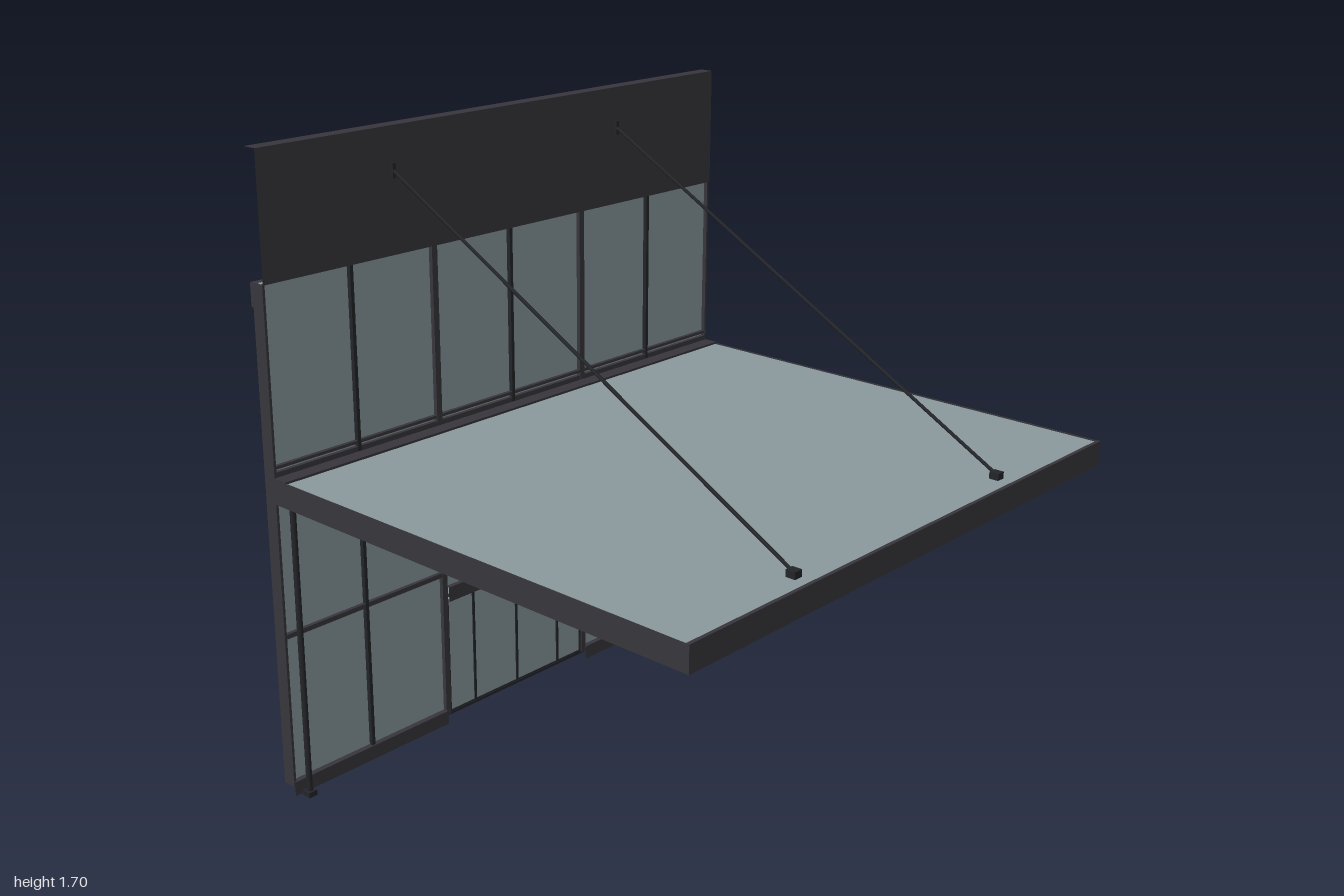
import * as THREE from 'three';

const mat = (name, color, side = THREE.FrontSide) => {
  const m = new THREE.MeshStandardMaterial({ color, side });
  m.name = name;
  return m;
};

export function createModel() {
  const root = new THREE.Group();
  root.name = 'entranceCanopy';
  const frame = mat('charcoal frame', 0x38363c);
  const glass = mat('grey glass', 0x8b9a9f);
  const steel = mat('dark steel', 0x242529);
  const pale = mat('pale grey', 0xa4a6aa);

  const add = (parent, name, geo, material) => {
    const m = new THREE.Mesh(geo, material);
    m.name = name;
    parent.add(m);
    return m;
  };
  // box given by its lower and upper corners
  const box = (parent, name, material, x0, x1, y0, y1, z0, z1) => {
    const m = add(parent, name, new THREE.BoxGeometry(x1 - x0, y1 - y0, z1 - z0), material);
    m.position.set((x0 + x1) / 2, (y0 + y1) / 2, (z0 + z1) / 2);
    return m;
  };
  // box whose two x ends are left open
  const openBox = (...args) => {
    const m = box(...args);
    m.geometry.setIndex([...m.geometry.index.array].slice(12));
    return m;
  };
  const group = (name) => {
    const g = new THREE.Group();
    g.name = name;
    root.add(g);
    return g;
  };

  const W = 0.815, ZF = -0.333, ZB = -0.372, D = 0.278, H = 1.37;

  // glazed wall
  const wall = group('curtainWall');
  box(wall, 'upperGlass', glass, -W + 0.004, W - 0.004, 0.41, H, -0.36, -0.345);
  for (const s of [-1, 1]) {
    const a = s * D, b = s * (W - 0.004);
    box(wall, 'sideGlass', glass, Math.min(a, b), Math.max(a, b), 0.025, 0.41, -0.36, -0.345);
    const c = s * W;
    openBox(wall, 'plinth', frame, Math.min(a, c), Math.max(a, c), 0, 0.04, ZB - 0.004, ZF + 0.004);
    box(wall, 'endMullion', frame, c - (s > 0 ? 0.007 : 0), c + (s > 0 ? 0 : 0.007), 0.025, H, ZB, ZF);
    box(wall, 'mullion', steel, s * 0.545 - 0.005, s * 0.545 + 0.005, 0.03, H, ZB, ZF);
    box(wall, 'doorMullion', frame, s * 0.272 - 0.009, s * 0.272 + 0.009, 0.025, H, ZB, ZF);
  }
  box(wall, 'centreMullion', steel, -0.005, 0.005, 0.41, H, ZB, ZF);
  for (const [y0, y1] of [[0.446, 0.459], [0.815, 0.897], [0.905, 0.913]])
    box(wall, 'transom', frame, -W, W, y0, y1, ZB + 0.001, ZF - 0.001);
  box(wall, 'rearHeadBand', frame, -W, W, 1.31, H, -0.38, -0.361);

  // blank panel over the glazing
  openBox(root, 'topPanel', frame, -W, W, H, 1.695, -0.37, -0.33);

  // canopy slab with fascias
  const canopy = group('canopy');
  box(canopy, 'canopyGlass', glass, -W + 0.003, W - 0.003, 0.818, 0.878, ZF, 0.99);
  box(canopy, 'frontFascia', frame, -W, W, 0.815, 0.882, 0.99, 1);
  for (const s of [-1, 1])
    box(canopy, 'sideFascia', frame, s * (W - 0.0015) - 0.0015, s * (W - 0.0015) + 0.0015, 0.815, 0.881, ZF, 0.99);
  box(canopy, 'wallFlashing', frame, -W, W, 0.87, 0.884, ZF, -0.292);

  // tie rods with anchors at both ends
  for (const x of [-0.405, 0.405]) {
    const tie = group('tieRod');
    const path = new THREE.LineCurve3(new THREE.Vector3(x, 0.885, 0.95), new THREE.Vector3(x, 1.585, -0.327));
    add(tie, 'rod', new THREE.TubeGeometry(path, 1, 0.0045, 8), steel);
    box(tie, 'lowerAnchor', steel, x - 0.012, x + 0.012, 0.878, 0.896, 0.93, 0.956);
    box(tie, 'wallPlate', steel, x - 0.005, x + 0.005, 1.565, 1.603, -0.33, -0.322);
  }

  // downpipe
  const pipe = group('downpipe');
  const tube = add(pipe, 'pipe', new THREE.CylinderGeometry(0.008, 0.008, 0.81, 12), steel);
  tube.position.set(-0.785, 0.41, -0.308);
  box(pipe, 'pipeFoot', steel, -0.798, -0.772, 0, 0.015, -0.322, -0.294);

  // entrance lobby behind the wall
  const lobby = group('lobby');
  box(lobby, 'roof', frame, -D, D, 0.412, 0.442, -0.99, ZB);
  box(lobby, 'floor', steel, -D, D, 0.022, 0.03, -0.988, -0.335);
  for (const s of [-1, 1]) {
    const x = s * (D - 0.006);
    box(lobby, 'lobbySideGlass', glass, x - 0.005, x + 0.005, 0.03, 0.412, -0.98, ZB);
    box(lobby, 'sideMullion', steel, x - 0.006, x + 0.006, 0.03, 0.412, -0.575, -0.567);
    box(lobby, 'cornerPost', frame, x - 0.007, x + 0.006, 0.022, 0.412, -0.99, -0.975);
  }

  // matching door screens at the wall and at the rear of the lobby
  for (const [z, out] of [[-0.345, 1], [-0.98, -1]]) {
    const doors = group(out > 0 ? 'frontDoors' : 'rearDoors');
    box(doors, 'doorGlass', glass, -0.265, 0.265, 0.03, 0.372, z - 0.005, z + 0.005);
    const face = z + out * 0.012;
    openBox(doors, 'doorHeader', frame, -0.265, 0.265, 0.37, 0.413, face - 0.007, face + 0.007);
    for (const x of [-0.262, -0.165, 0, 0.165, 0.262])
      box(doors, 'doorStile', steel, x - 0.004, x + 0.004, 0.03, 0.372, z - 0.008, z + 0.008);
    box(doors, 'doorSill', steel, -0.265, 0.265, 0.024, 0.033, z - 0.008, z + 0.008);
    box(doors, 'sensor', pale, -0.022, 0.022, 0.383, 0.391, face - 0.008, face + 0.008);
  }
  box(root, 'roofSensor', pale, -0.02, 0.02, 0.458, 0.478, -1, -0.995);

  return root;
}
